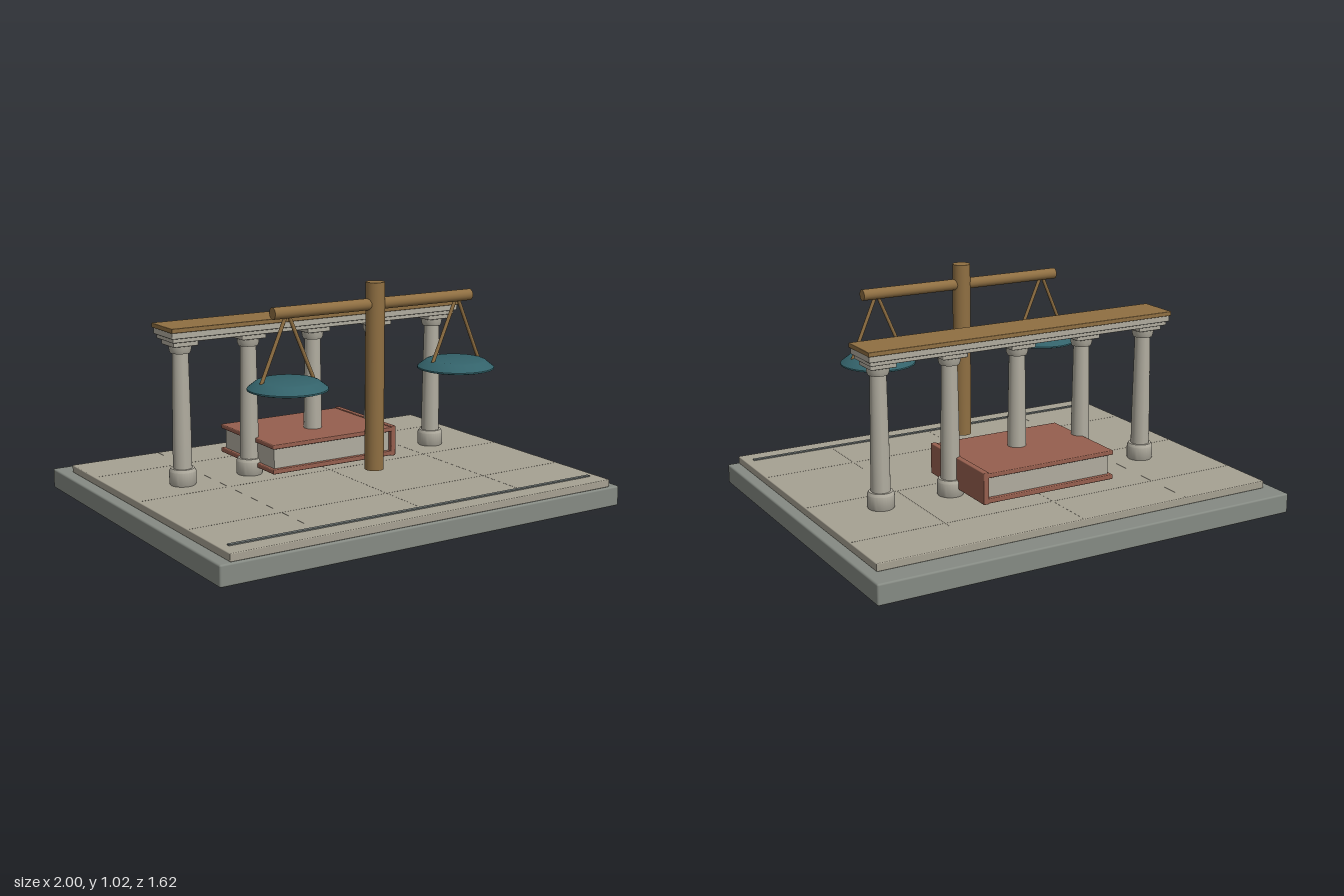
import * as THREE from 'three';
import { RoundedBoxGeometry } from 'three/addons/geometries/RoundedBoxGeometry.js';
import { toCreasedNormals } from 'three/addons/utils/BufferGeometryUtils.js';

const mat = (color) => new THREE.MeshStandardMaterial({ color });
const slate = mat(0x858a83), floorStone = mat(0xa6a192), marble = mat(0xb0ac9f);
const bronze = mat(0x8f6f42), teal = mat(0x33626a), leather = mat(0x965f4e), joint = mat(0x6d7472);

function add(parent, name, geometry, material, x = 0, y = 0, z = 0) {
  const mesh = new THREE.Mesh(geometry, material);
  mesh.name = name;
  mesh.position.set(x, y, z);
  parent.add(mesh);
  return mesh;
}

// Box given by its extents on each axis, with slightly eased edges
function block(parent, name, material, [x0, x1], [y0, y1], [z0, z1], ease = 0.004) {
  const size = [x1 - x0, y1 - y0, z1 - z0];
  const geometry = ease ? new RoundedBoxGeometry(...size, 2, ease) : new THREE.BoxGeometry(...size);
  return add(parent, name, geometry, material, (x0 + x1) / 2, (y0 + y1) / 2, (z0 + z1) / 2);
}

// Turned shape from [radius, height] pairs, with crisp edges
function turned(points, sides = 32) {
  const profile = points.map(([r, y]) => new THREE.Vector2(r, y));
  return toCreasedNormals(new THREE.LatheGeometry(profile, sides), 0.5);
}

// Round rod between two points
function rod(parent, name, material, a, b, radius, sides = 24) {
  const from = new THREE.Vector3(...a), to = new THREE.Vector3(...b);
  const dir = to.clone().sub(from);
  const mid = from.add(to).multiplyScalar(0.5);
  const mesh = add(parent, name, new THREE.CylinderGeometry(radius, radius, dir.length(), sides), material, mid.x, mid.y, mid.z);
  mesh.quaternion.setFromUnitVectors(new THREE.Vector3(0, 1, 0), dir.normalize());
  return mesh;
}

function createGround() {
  const g = new THREE.Group();
  g.name = 'ground';
  block(g, 'plinth', slate, [-1, 1], [0, 0.09], [-0.81, 0.81], 0.008);
  block(g, 'floor', floorStone, [-0.95, 0.95], [0.09, 0.124], [-0.7, 0.8]);
  block(g, 'frontStrip', joint, [-0.91, 0.91], [0.118, 0.129], [0.7, 0.718], 0);
  // Paving joints, almost flush with the floor
  for (const x of [-0.52, 0, 0.52]) block(g, 'pavingJoint', floorStone, [x - 0.002, x + 0.002], [0.115, 0.1245], [-0.69, 0.69], 0);
  for (const z of [-0.45, 0, 0.45]) block(g, 'pavingJoint', floorStone, [-0.94, 0.94], [0.115, 0.1245], [z - 0.002, z + 0.002], 0);
  return g;
}

function createColonnade() {
  const g = new THREE.Group();
  g.name = 'colonnade';
  const z = -0.147;
  const base = turned([[0, 0.124], [0.056, 0.124], [0.059, 0.13], [0.059, 0.185], [0.052, 0.198], [0, 0.198]]);
  const shaft = turned([[0.042, 0.19], [0.041, 0.35], [0.035, 0.715]]);
  const capital = turned([[0, 0.706], [0.043, 0.706], [0.048, 0.72], [0.05, 0.742], [0, 0.742]]);
  for (let i = -2; i <= 2; i++) {
    const column = new THREE.Group();
    column.name = 'column';
    column.position.set(i * 0.333, 0, z);
    add(column, 'columnBase', base, marble);
    add(column, 'columnShaft', shaft, marble);
    add(column, 'capital', capital, marble);
    block(column, 'abacus', marble, [-0.059, 0.059], [0.74, 0.765], [-0.059, 0.059]);
    g.add(column);
  }
  block(g, 'architrave', marble, [-0.738, 0.738], [0.763, 0.8], [z - 0.08, z + 0.08]);
  block(g, 'cornice', marble, [-0.747, 0.747], [0.782, 0.81], [z - 0.092, z + 0.092]);
  block(g, 'roofBand', bronze, [-0.752, 0.752], [0.809, 0.829], [z - 0.098, z + 0.098], 0.003);
  return g;
}

// Closed book lying flat, spine towards +x
function createBook() {
  const g = new THREE.Group();
  g.name = 'book';
  const depth = [-0.427, 0.053];
  block(g, 'lowerCover', leather, [-0.325, 0.31], [0.16, 0.181], depth);
  block(g, 'upperCover', leather, [-0.325, 0.31], [0.272, 0.292], depth);
  block(g, 'spine', leather, [0.298, 0.324], [0.157, 0.297], depth);
  block(g, 'pages', marble, [-0.31, 0.3], [0.178, 0.275], [-0.407, 0.033], 0);
  return g;
}

function createScales() {
  const g = new THREE.Group();
  g.name = 'scales';
  g.position.z = 0.353;
  rod(g, 'post', bronze, [0, 0.21, 0], [0, 1.02, 0], 0.041, 32);
  rod(g, 'beam', bronze, [-0.5, 0.927, 0], [0.5, 0.927, 0], 0.025);
  const pan = turned([[0, 0.606], [0.16, 0.606], [0.169, 0.609], [0.168, 0.615], [0.132, 0.643], [0.12, 0.647], [0, 0.648]], 40);
  for (const side of [-1, 1]) {
    const x = side * 0.43;
    add(g, 'pan', pan, teal, x);
    for (const s of [-1, 1])
      rod(g, 'hanger', bronze, [x + s * 0.006, 0.915, 0], [x + s * 0.127, 0.635, 0], 0.008, 12);
  }
  return g;
}

export function createModel() {
  const model = new THREE.Group();
  model.name = 'courtMonument';
  model.add(createGround(), createColonnade(), createBook(), createScales());
  return model;
}
